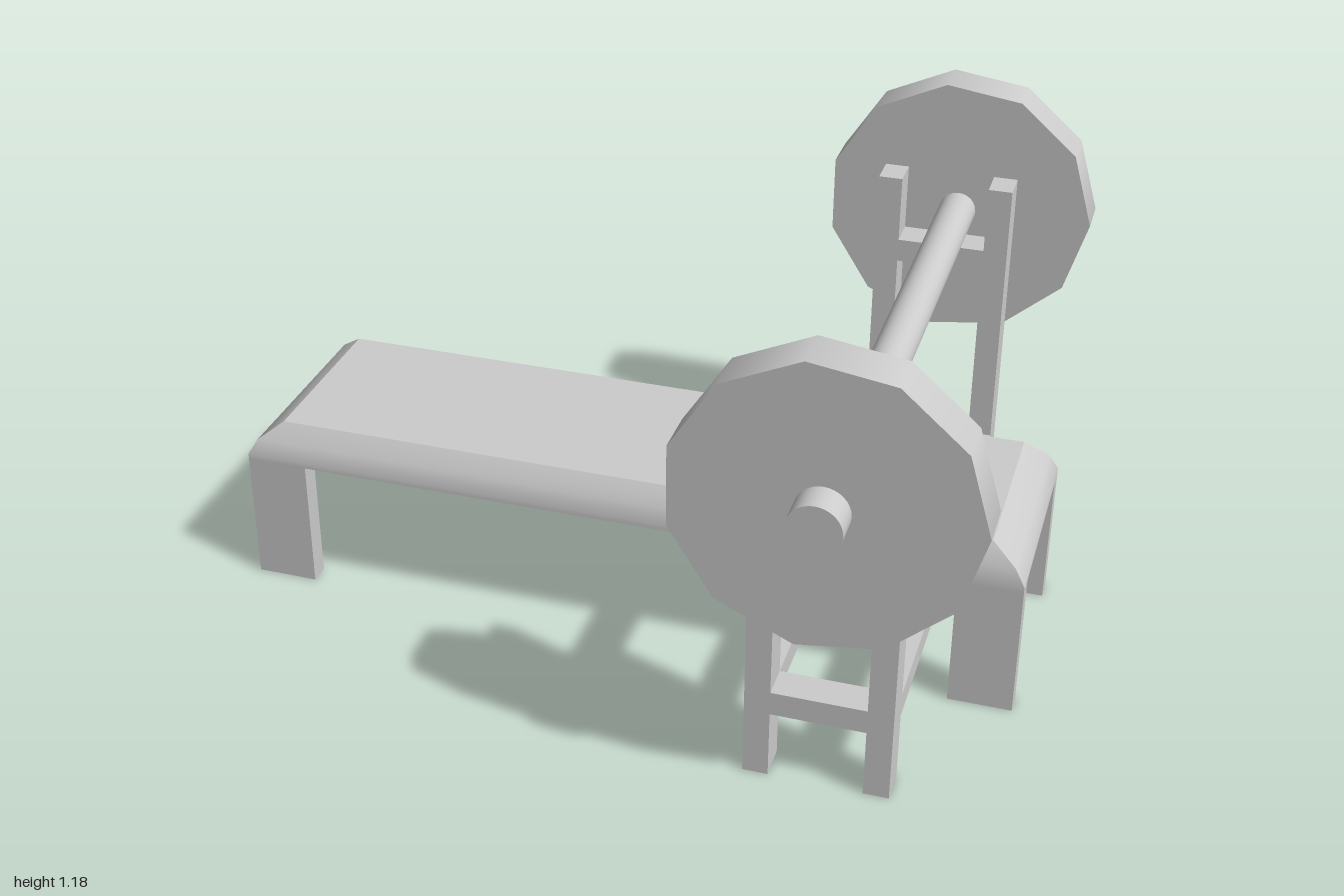
import * as THREE from 'three';
import { toCreasedNormals } from 'three/addons/utils/BufferGeometryUtils.js';

const material = new THREE.MeshStandardMaterial({ color: 0xcccccc });

function add(parent, name, geometry, x = 0, y = 0, z = 0) {
  const mesh = new THREE.Mesh(geometry, material);
  mesh.name = name;
  mesh.position.set(x, y, z);
  parent.add(mesh);
  return mesh;
}

// Box given by its limits on each axis
function boxBetween(parent, name, [x0, x1], [y0, y1], [z0, z1]) {
  return add(parent, name, new THREE.BoxGeometry(x1 - x0, y1 - y0, z1 - z0),
    (x0 + x1) / 2, (y0 + y1) / 2, (z0 + z1) / 2);
}

// Cylinder lying along z, with a corner pointing to +x
function rod(radius, length, sides) {
  return new THREE.CylinderGeometry(radius, radius, length, sides, 1, false, Math.PI / 2)
    .rotateX(Math.PI / 2);
}

// Closed solid through stacked rectangles [halfX, y, halfZ], bottom to top
function rectangleLoft(rings) {
  const points = [];
  const index = [];
  for (const [hx, y, hz] of rings) {
    points.push(hx, y, hz, hx, y, -hz, -hx, y, -hz, -hx, y, hz);
  }
  for (let r = 0; r < rings.length - 1; r++) {
    for (let i = 0; i < 4; i++) {
      const a = r * 4 + i;
      const b = r * 4 + (i + 1) % 4;
      index.push(a, b, b + 4, a, b + 4, a + 4);
    }
  }
  const t = (rings.length - 1) * 4;
  index.push(0, 2, 1, 0, 3, 2, t, t + 1, t + 2, t, t + 2, t + 3);
  const geometry = new THREE.BufferGeometry();
  geometry.setAttribute('position', new THREE.Float32BufferAttribute(points, 3));
  geometry.setIndex(index);
  return toCreasedNormals(geometry, 0.6);
}

export function createModel() {
  const model = new THREE.Group();
  model.name = 'weightBench';

  // Bench: bevelled seat on four corner legs
  const bench = new THREE.Group();
  bench.name = 'bench';
  model.add(bench);
  add(bench, 'seat', rectangleLoft([
    [1, 0.345, 0.277], [1, 0.36, 0.277], [0.975, 0.402, 0.267], [0.913, 0.448, 0.233],
  ]));
  for (const sx of [-1, 1]) {
    for (const sz of [-1, 1]) {
      add(bench, 'benchLeg', new THREE.BoxGeometry(0.158, 0.345, 0.053),
        sx * 0.921, 0.1725, sz * 0.2505);
    }
  }

  // Rack: four posts, end crosspieces and two long floor rails
  const rack = new THREE.Group();
  rack.name = 'rack';
  model.add(rack);
  const columns = [[0.436, 0.497], [0.722, 0.783]];
  const lowBar = [0.175, 0.236];
  for (const depth of [[0.595, 0.68], [-0.68, -0.595]]) {
    for (const column of columns) boxBetween(rack, 'post', column, [0, 0.96], depth);
    boxBetween(rack, 'lowerCrosspiece', [0.497, 0.722], lowBar, depth);
    boxBetween(rack, 'barRest', [0.497, 0.722], [0.725, 0.786], depth);
  }
  for (const column of columns) boxBetween(rack, 'floorRail', column, lowBar, [-0.595, 0.595]);

  // Barbell: bar, eleven-sided weights and end collars
  const barbell = new THREE.Group();
  barbell.name = 'barbell';
  barbell.position.set(0.626, 0.834, 0);
  model.add(barbell);
  add(barbell, 'bar', rod(0.048, 1.6, 32));
  for (const [plateZ, collarZ] of [[0.76, 0.845], [-0.783, -0.848]]) {
    add(barbell, 'weightPlate', rod(0.35, 0.115, 11), 0, 0, plateZ);
    add(barbell, 'collar', rod(0.062, 0.1, 32), 0, 0, collarZ);
  }

  return model;
}
